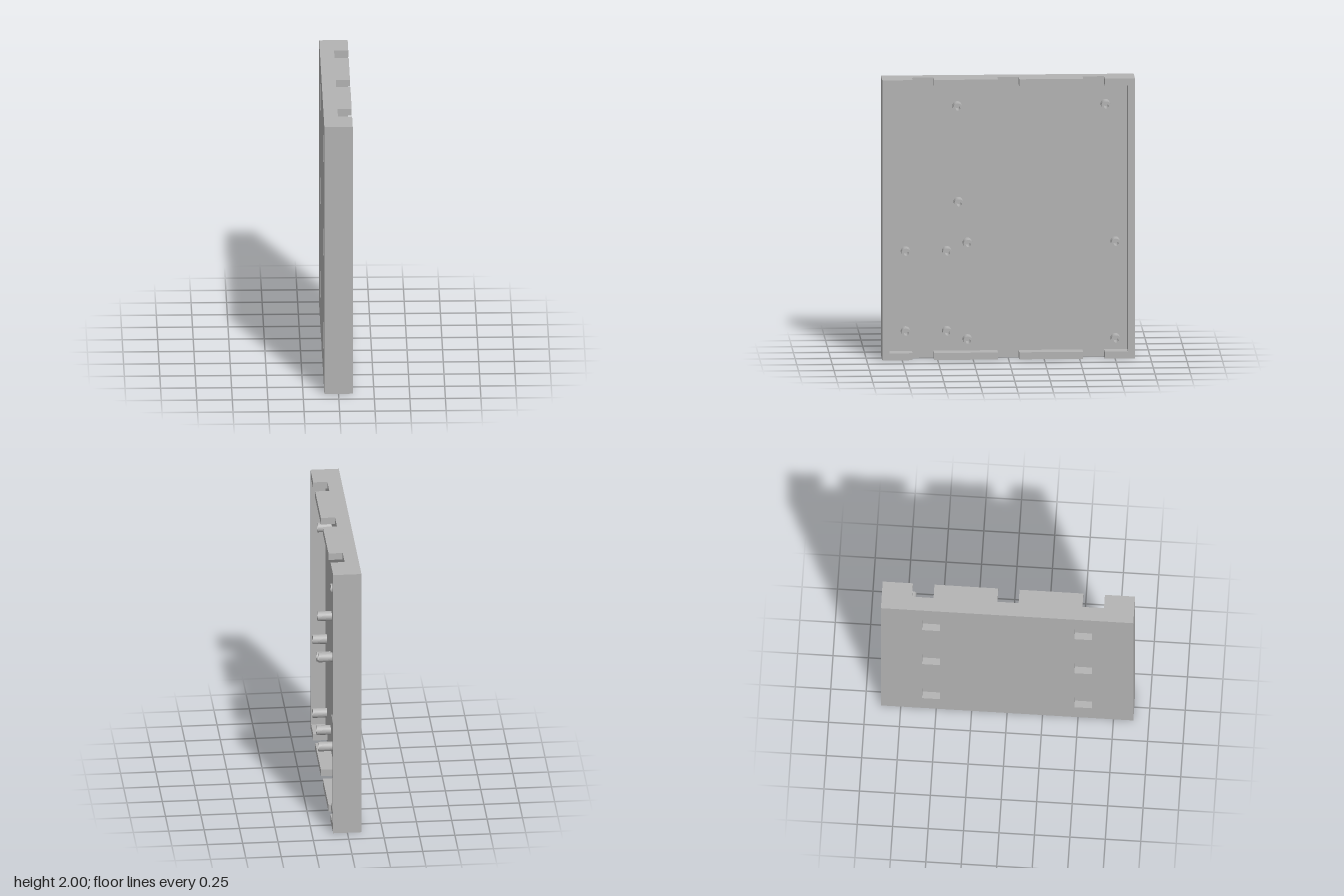
import * as THREE from 'three';

const H = 2, W = 0.89, WALL = 0.05;      // height, half width, rim thickness
const BACK = -0.1, POCKET = 0.05, FLOOR = 0, FRONT = 0.1;

const polygon = (points, Type = THREE.Shape) =>
  new Type(points.map(([u, v]) => new THREE.Vector2(u, v)));
const rect = (u0, v0, u1, v1, Type) =>
  polygon([[u0, v0], [u1, v0], [u1, v1], [u0, v1]], Type);

// Extrudes a shape drawn in (-z, y) along +x, from x0 to x1
function slab(shape, x0, x1, curveSegments = 12) {
  const g = new THREE.ExtrudeGeometry(shape, { depth: x1 - x0, bevelEnabled: false, curveSegments });
  return g.rotateY(Math.PI / 2).translate(x0, 0, 0);
}

export function createModel() {
  const model = new THREE.Group();
  model.name = 'enclosureTray';
  const grey = new THREE.MeshStandardMaterial({ color: 0xb3b3b3 });
  grey.name = 'light grey';
  const add = (name, geometry) => {
    const mesh = new THREE.Mesh(geometry, grey);
    mesh.name = name;
    model.add(mesh);
    return mesh;
  };

  // Back skin with six blind mounting slots
  const skin = rect(-W, 0, W, H);
  for (const u of [-0.537, 0.537]) {
    for (const v of [0.3, 1.0, 1.7]) {
      skin.holes.push(rect(u - 0.0625, v - 0.1, u + 0.0625, v + 0.1, THREE.Path));
    }
  }
  add('backSkin', slab(skin, BACK, BACK + POCKET));

  // Solid floor in front of the slots
  add('floor', slab(rect(-W, 0, W, H), BACK + POCKET, FLOOR));

  // Side walls with short returns, and the rim tabs between the gaps
  for (const s of [-1, 1]) {
    const inner = W - WALL, tip = 0.677;
    const side = polygon([
      [tip, 0], [W, 0], [W, H], [tip, H],
      [tip, H - WALL], [inner, H - WALL], [inner, WALL], [tip, WALL],
    ].map(([u, v]) => [s * u, v]));
    add('sideWall', slab(side, FLOOR, FRONT));
    for (const v of [0, H - WALL]) {
      const [a, b] = s > 0 ? [0.075, 0.525] : [-0.525, -0.075];
      add('rimTab', slab(rect(a, v, b, v + WALL), FLOOR, FRONT));
    }
  }

  // Hollow standoffs, placed by [z, y]
  const ring = new THREE.Shape().absarc(0, 0, 0.034, 0, Math.PI * 2, false);
  ring.holes.push(new THREE.Path().absarc(0, 0, 0.017, 0, Math.PI * 2, true));
  const standoff = slab(ring, FLOOR, FRONT, 16);
  const places = [
    [0.358, 1.797], [-0.686, 1.804], [0.35, 1.113], [0.286, 0.822],
    [0.432, 0.763], [0.722, 0.763], [-0.756, 0.822], [0.722, 0.192],
    [0.432, 0.192], [0.286, 0.132], [-0.756, 0.132],
  ];
  for (const [z, y] of places) add('standoff', standoff).position.set(0, y, z);

  return model;
}
